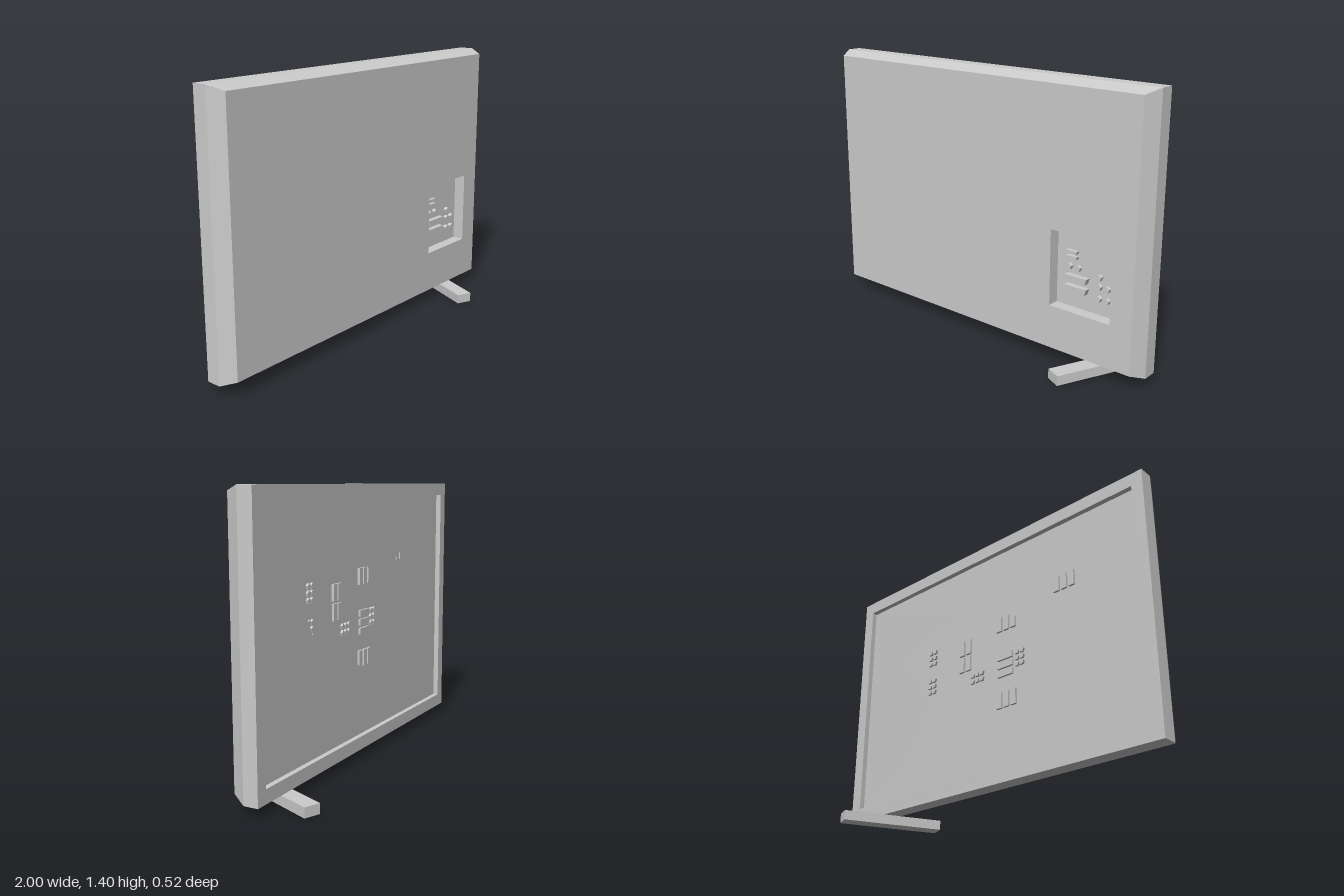
import * as THREE from 'three';

const material = new THREE.MeshStandardMaterial({ color: 0xcccccc, flatShading: true, side: THREE.DoubleSide });

function add(parent, name, geometry, x = 0, y = 0, z = 0) {
  const mesh = new THREE.Mesh(geometry, material);
  mesh.name = name;
  mesh.position.set(x, y, z);
  parent.add(mesh);
  return mesh;
}

// Skin through rectangular sections [x0, x1, y0, y1, z]
function loft(sections) {
  const rings = sections.map(([x0, x1, y0, y1, z]) => [[x0, y0, z], [x1, y0, z], [x1, y1, z], [x0, y1, z]]);
  const positions = [];
  for (let i = 0; i < rings.length - 1; i++) {
    for (let k = 0; k < 4; k++) {
      const n = (k + 1) % 4;
      const a = rings[i][k], b = rings[i][n], c = rings[i + 1][n], d = rings[i + 1][k];
      positions.push(...a, ...b, ...c, ...a, ...c, ...d);
    }
  }
  const geometry = new THREE.BufferGeometry();
  geometry.setAttribute('position', new THREE.Float32BufferAttribute(positions, 3));
  geometry.computeVertexNormals();
  return geometry;
}

const polygon = points => points.map(([x, y]) => new THREE.Vector2(x, y));
const rectangle = (x0, x1, y0, y1) => polygon([[x0, y0], [x1, y0], [x1, y1], [x0, y1]]);

// Flat sheet with one opening; facing is +1 for front, -1 for back
function sheet(outline, opening, facing) {
  const shape = new THREE.Shape(outline);
  shape.holes.push(new THREE.Path(opening));
  const geometry = new THREE.ShapeGeometry(shape);
  if (facing < 0) {
    const index = geometry.index.array;
    for (let i = 0; i < index.length; i += 3) [index[i], index[i + 1]] = [index[i + 1], index[i]];
    geometry.computeVertexNormals();
  }
  return geometry;
}

// Five-sided stud, lying along z with a corner upward
const stud = (radius, depth) => new THREE.CylinderGeometry(radius, radius, depth, 5).rotateX(-Math.PI / 2);

// Socket that narrows toward the bottom
function socket(width, height, depth) {
  const w = width / 2, h = height / 2, taper = height * 0.3;
  const shape = new THREE.Shape(polygon([[-w + taper, -h], [w - taper, -h], [w, h], [-w, h]]));
  return new THREE.ExtrudeGeometry(shape, { depth, bevelEnabled: false });
}

export function createModel() {
  const model = new THREE.Group();
  model.name = 'brokenTelevision';

  // Casing: bezel, side walls and chamfered cover
  const inner = [-0.937, 0.937, 0.118, 1.337], cover = [-0.958, 0.958, 0.078, 1.38];
  const outer = [-1, 1, 0.05, 1.405];
  add(model, 'casing', loft([
    [...inner, -0.037], [...inner, -0.065], [...outer, -0.065], [...outer, 0.01], [...cover, 0.087],
  ]));

  // Cover panel with the port recess
  const recess = [0.495, 0.842, 0.3, 0.688], floor = 0.025;
  add(model, 'coverPanel', sheet(rectangle(...cover), rectangle(...recess), 1), 0, 0, 0.087);
  add(model, 'portRecessWalls', loft([[...recess, 0.087], [...recess, floor]]));
  add(model, 'portRecessFloor', new THREE.PlaneGeometry(recess[1] - recess[0], recess[3] - recess[2]),
    (recess[0] + recess[1]) / 2, (recess[2] + recess[3]) / 2, floor);

  // Ports
  const ports = new THREE.Group();
  ports.name = 'ports';
  model.add(ports);
  for (const y of [0.583, 0.556]) add(ports, 'smallSocket', socket(0.062, 0.015, 0.02), 0.587, y, floor);
  for (const y of [0.455, 0.402]) add(ports, 'wideSocket', socket(0.125, 0.03, 0.03), 0.62, y, floor);
  const jacks = [[0.572, 0.508], [0.623, 0.508], [0.743, 0.492], [0.743, 0.444], [0.789, 0.444], [0.743, 0.385], [0.789, 0.385]];
  for (const [x, y] of jacks) add(ports, 'roundJack', stud(0.016, 0.02), x, y, floor + 0.01);

  // Shattered screen with a jagged hole
  const hole = polygon([
    [0.66, 0.93], [0.19, 1.095], [-0.19, 0.92], [-0.57, 1.095], [-0.57, 0.81], [-0.4, 0.604],
    [-0.57, 0.49], [-0.187, 0.352], [0.187, 0.568], [0.57, 0.357], [0.44, 0.604], [0.57, 0.85],
  ]);
  add(model, 'screen', sheet(rectangle(...inner), hole, -1), 0, 0, -0.037);

  // Circuit board and its components
  const boardZ = 0.004, chipDepth = 0.012;
  add(model, 'circuitBoard', new THREE.PlaneGeometry(1.98, 1.34).rotateY(Math.PI), 0, 0.7275, boardZ);
  const components = new THREE.Group();
  components.name = 'components';
  model.add(components);
  function grid(name, geometry, x, y, columns, rows, dx, dy) {
    for (let c = 0; c < columns; c++) {
      for (let r = 0; r < rows; r++) {
        add(components, name, geometry, x + (c - (columns - 1) / 2) * dx, y + (r - (rows - 1) / 2) * dy, boardZ - chipDepth / 2);
      }
    }
  }
  const capacitor = stud(0.016, chipDepth);
  const uprightChip = new THREE.BoxGeometry(0.035, 0.085, chipDepth);
  const flatChip = new THREE.BoxGeometry(0.1, 0.033, chipDepth);
  for (const [x, y] of [[0.459, 0.902], [0.459, 0.73], [-0.172, 0.709]]) {
    grid('capacitor', capacitor, x, y, 2, 3, 0.032, 0.034);
  }
  grid('capacitor', capacitor, 0.119, 0.683, 3, 2, 0.032, 0.034);
  grid('memoryChip', uprightChip, 0.207, 0.832, 2, 2, 0.047, 0.097);
  for (const [x, y] of [[-0.085, 0.935], [-0.47, 1.03], [-0.083, 0.504]]) {
    grid('processorChip', uprightChip, x, y, 3, 1, 0.047, 0);
  }
  grid('controlChip', flatChip, -0.077, 0.695, 1, 3, 0, 0.047);

  // Single remaining foot, set at an angle
  const foot = add(model, 'foot', new THREE.BoxGeometry(0.083, 0.05, 0.53), 0.746, 0.025, 0);
  foot.rotation.y = -0.41;

  return model;
}
